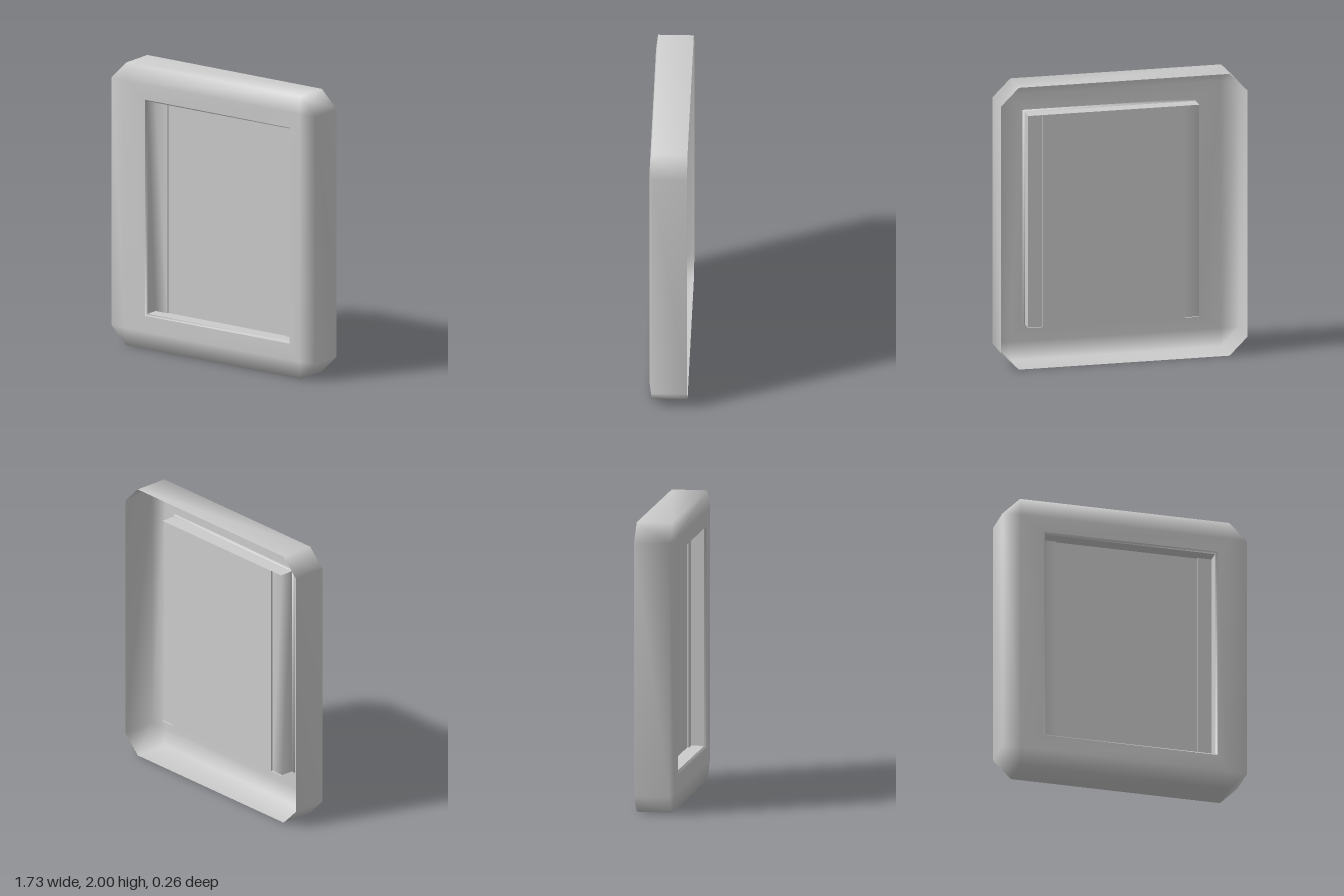
import * as THREE from 'three';
import { mergeVertices } from 'three/addons/utils/BufferGeometryUtils.js';

const grey = new THREE.MeshStandardMaterial({ color: 0xcccccc, side: THREE.DoubleSide });
grey.name = 'plainGrey';

// Skin a surface over rows of points; smooth normals unless flat is set.
function loft(name, rows, { closed = false, flat = false } = {}) {
  const n = rows[0].length;
  const index = [];
  for (let i = 0; i < rows.length - 1; i++) {
    for (let j = 0; j < (closed ? n : n - 1); j++) {
      const k = (j + 1) % n;
      const a = i * n + j, b = i * n + k, c = b + n, d = a + n;
      index.push(a, b, c, a, c, d);
    }
  }
  let geo = new THREE.BufferGeometry();
  geo.setAttribute('position', new THREE.Float32BufferAttribute(rows.flat(2), 3));
  geo.setIndex(index);
  geo = flat ? geo.toNonIndexed() : mergeVertices(geo);
  geo.computeVertexNormals();
  const mesh = new THREE.Mesh(geo, grey);
  mesh.name = name;
  return mesh;
}

// Eight-point ring; a chamfer of 0 gives a rectangle with doubled corners.
function ring(x0, x1, y0, y1, z, c = 0) {
  return [
    [x1, y0 + c, z], [x1, y1 - c, z], [x1 - c, y1, z], [x0 + c, y1, z],
    [x0, y1 - c, z], [x0, y0 + c, z], [x0 + c, y0, z], [x1 - c, y0, z],
  ];
}

export function createModel() {
  const group = new THREE.Group();
  group.name = 'framedPanel';

  // Window opening and panel extents
  const L = -0.56, R = 0.64, B = 0.25, T = 1.755, flange = 0.1;
  const lip = 0.012, frontZ = 0.129, flangeZ = 0.02, panelZ = 0.008;

  // Thin outer shell, open at the back, with a softly shaded front border
  group.add(loft('frameShell', [
    ring(-0.865, 0.865, 0, 2, -0.13, 0.125),
    ring(-0.865, 0.865, 0, 2, 0.115, 0.125),
    ring(-0.74, 0.74, 0.125, 1.875, frontZ),
    ring(L - lip, R + lip, B - lip, T + lip, frontZ - 0.003),
  ], { closed: true }));

  // Rolled lip around the window
  group.add(loft('windowLip', [
    ring(L - lip, R + lip, B - lip, T + lip, frontZ - 0.003),
    ring(L, R, B, T, 0.11),
  ], { closed: true }));

  // Side walls with flanges stepping down to the panel
  const column = ([x, z]) => [[x, B, z], [x, T, z]];
  const leftSide = [[L + flange, flangeZ], [L, flangeZ], [L, 0.11]];
  const rightSide = [[R, 0.11], [R, flangeZ], [R - flange, flangeZ]];
  group.add(loft('sideFlange', leftSide.map(column)));
  group.add(loft('oppositeSideFlange', rightSide.map(column), { flat: true }));
  for (const x of [L + flange, R - flange]) {
    group.add(loft('panelStep', [[x, panelZ], [x, flangeZ]].map(column), { flat: true }));
  }

  // Top and bottom walls of the recess
  for (const [name, y] of [['recessTop', T], ['recessBottom', B]]) {
    group.add(loft(name, [0.11, panelZ].map((z) => [[L, y, z], [R, y, z]]), { flat: true }));
  }

  // Flat recessed panel
  const panel = new THREE.Mesh(new THREE.PlaneGeometry(R - L - 2 * flange, T - B), grey);
  panel.name = 'panel';
  panel.position.set((L + R) / 2, (B + T) / 2, panelZ);
  group.add(panel);

  return group;
}
